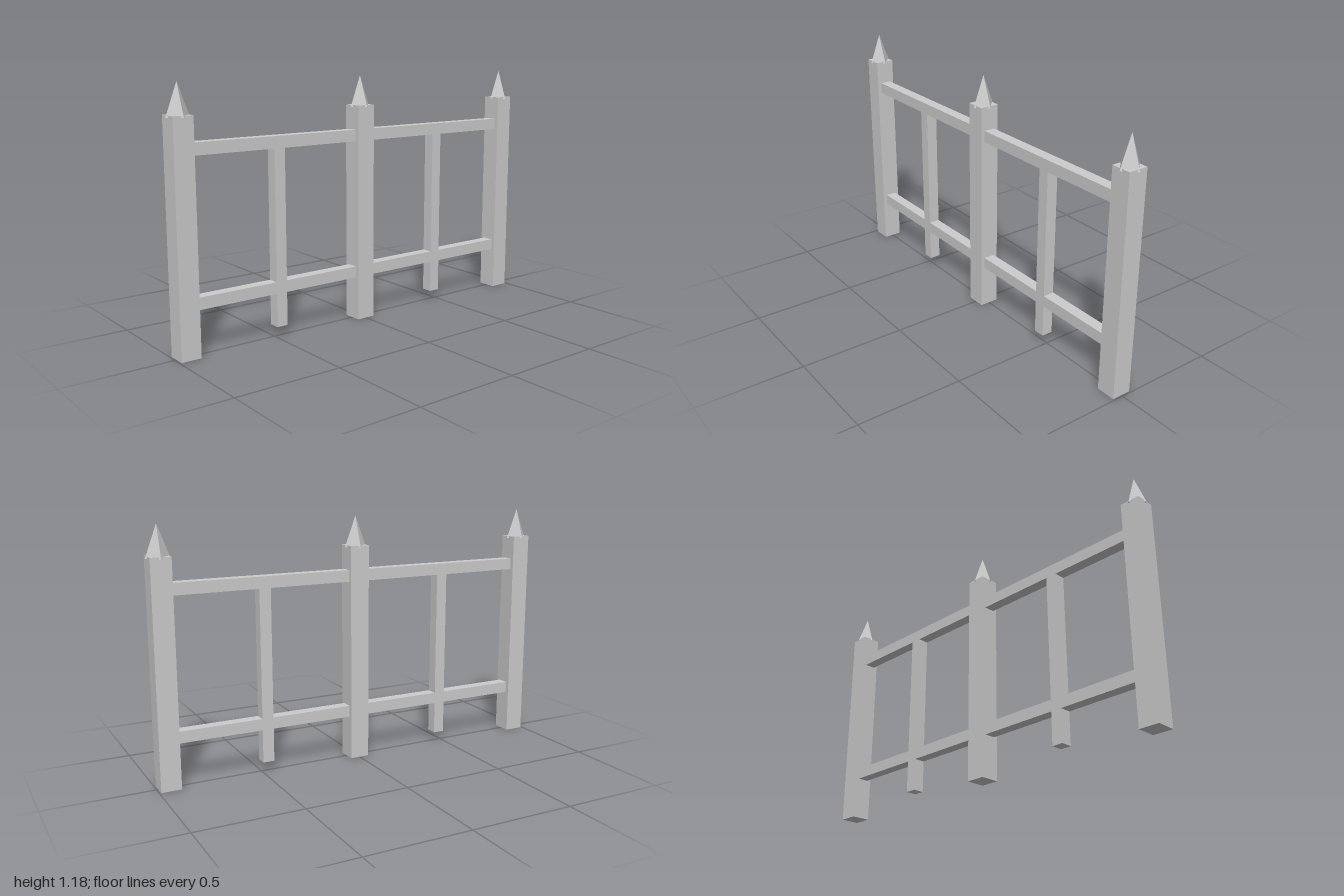
import * as THREE from 'three';

const material = new THREE.MeshStandardMaterial({ color: 0xcccccc, flatShading: true });

const POST_SPACING = 0.945;
const POST_WIDTH = 0.094;
const POST_HEIGHT = 1.04;
const BAR = 0.055; // thickness of rails and pickets

function addMesh(parent, name, geometry, x, y) {
  const mesh = new THREE.Mesh(geometry, material);
  mesh.name = name;
  mesh.position.set(x, y, 0);
  parent.add(mesh);
}

export function createModel() {
  const fence = new THREE.Group();
  fence.name = 'fence';

  // Square posts, each with a pyramid tip whose corners overhang the sides
  const postGeometry = new THREE.BoxGeometry(POST_WIDTH, POST_HEIGHT, POST_WIDTH);
  const tipBase = 1.031, tipTop = 1.178;
  const tipGeometry = new THREE.ConeGeometry(0.055, tipTop - tipBase, 4);
  [['right', -1], ['middle', 0], ['left', 1]].forEach(([side, i]) => {
    const post = new THREE.Group();
    post.name = side + 'Post';
    post.position.x = i * POST_SPACING;
    addMesh(post, 'postShaft', postGeometry, 0, POST_HEIGHT / 2);
    addMesh(post, 'postTip', tipGeometry, 0, (tipBase + tipTop) / 2);
    fence.add(post);
  });

  // Two bays of rails and a central picket between the posts
  const railGeometry = new THREE.BoxGeometry(POST_SPACING - POST_WIDTH, BAR, BAR);
  const picketBottom = 0.05, picketTop = 0.871;
  const picketGeometry = new THREE.BoxGeometry(BAR, picketTop - picketBottom, BAR);
  [['right', -1], ['left', 1]].forEach(([side, s]) => {
    const x = s * POST_SPACING / 2;
    addMesh(fence, side + 'UpperRail', railGeometry, x, 0.898);
    addMesh(fence, side + 'LowerRail', railGeometry, x, 0.235);
    addMesh(fence, side + 'Picket', picketGeometry, x, (picketBottom + picketTop) / 2);
  });

  return fence;
}
